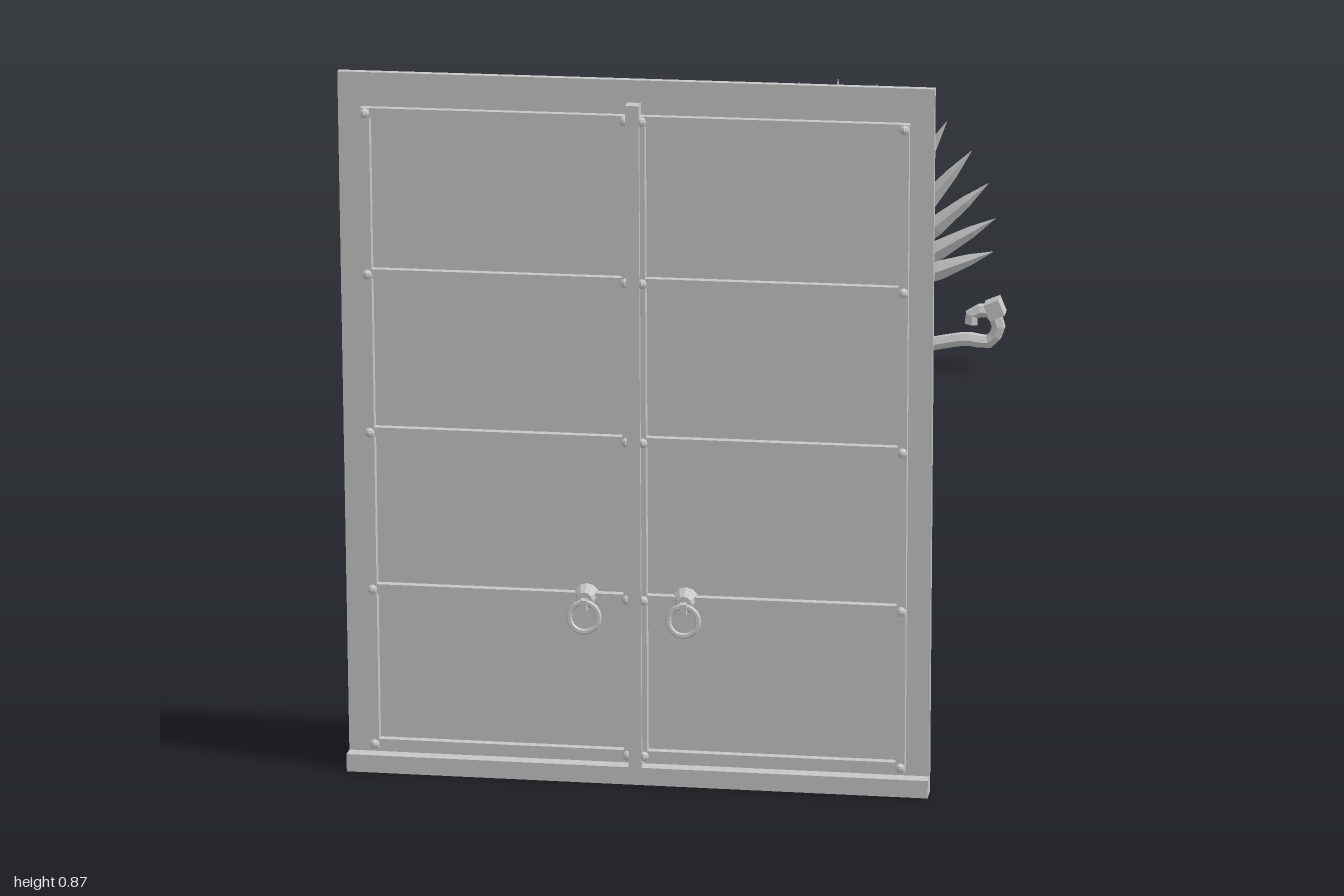
import * as THREE from 'three';

export function createModel() {
  const root = new THREE.Group();
  const stone = new THREE.MeshStandardMaterial({ color: 0xc6c6c6, flatShading: true, side: THREE.DoubleSide });
  stone.name = 'pale grey';

  const add = (name, geo, x = 0, y = 0, z = 0, parent = root) => {
    const m = new THREE.Mesh(geo, stone);
    m.name = name;
    m.position.set(x, y, z);
    parent.add(m);
    return m;
  };
  const box = (w, h, d) => new THREE.BoxGeometry(w, h, d);
  const group = (name) => {
    const g = new THREE.Group();
    g.name = name;
    root.add(g);
    return g;
  };

  // Faceted body from horizontal rings: [y, z centre, x radius, z radius]
  const loft = (rings, sides) => {
    const pos = [], idx = [];
    rings.forEach(([y, z, rx, rz]) => {
      for (let i = 0; i < sides; i++) {
        const a = (i / sides) * Math.PI * 2;
        pos.push(Math.sin(a) * rx, y, z + Math.cos(a) * rz);
      }
    });
    for (let r = 0; r < rings.length - 1; r++) {
      for (let i = 0; i < sides; i++) {
        const a = r * sides + i, b = r * sides + ((i + 1) % sides);
        idx.push(a, b, b + sides, a, b + sides, a + sides);
      }
    }
    const g = new THREE.BufferGeometry();
    g.setAttribute('position', new THREE.Float32BufferAttribute(pos, 3));
    g.setIndex(idx);
    g.computeVertexNormals();
    return g;
  };

  // Door slab, sill and centre post
  const door = group('door');
  add('doorPanel', box(0.708, 0.865, 0.01), 0, 0.4325, 0.965, door);
  add('doorSill', box(0.708, 0.022, 0.027), 0, 0.011, 0.9735, door);
  add('centrePost', box(0.016, 0.816, 0.018), 0, 0.43, 0.979, door);

  // Raised frame bars with studs at the joints
  const rails = [0.035, 0.231, 0.427, 0.622, 0.818];
  for (const s of [-1, 1]) {
    add('outerStile', box(0.011, 0.795, 0.012), s * 0.32, 0.4265, 0.976, door);
    add('innerStile', box(0.007, 0.795, 0.012), s * 0.0105, 0.4265, 0.976, door);
    for (const y of rails) {
      add('rail', box(0.31, 0.012, 0.01), s * 0.165, y, 0.975, door);
      for (const x of [0.32, 0.01]) {
        add('stud', new THREE.SphereGeometry(0.006, 8, 6), s * x, y, 0.982, door);
      }
    }

    // Ring handle on a round boss
    const boss = add('handleBoss', new THREE.CylinderGeometry(0.009, 0.016, 0.016, 12), s * 0.06, 0.231, 0.98, door);
    boss.rotation.x = Math.PI / 2;
    add('handleHook', box(0.008, 0.014, 0.012), s * 0.06, 0.226, 0.992, door);
    const ring = add('handleRing', new THREE.TorusGeometry(0.018, 0.0035, 6, 20), s * 0.06, 0.211, 0.993, door);
    ring.rotation.x = -0.1;
  }

  // Fan of pointed leaves
  const fan = group('leafFan');
  const count = 15;
  for (let i = 0; i < count; i++) {
    const t = (i / (count - 1)) * 2 - 1;
    const len = 0.355 - 0.1 * t * t;
    const leaf = add('leaf', loft([
      [0, 0, 0.003, 0.003], [len * 0.35, 0, 0.011, 0.008],
      [len * 0.65, 0, 0.015, 0.009], [len * 0.85, 0, 0.009, 0.006], [len, 0, 0.0005, 0.0005],
    ], 4), 0, 0.082, -0.986 + (i % 2) * 0.004, fan);
    leaf.rotation.z = -t * 1.2;
  }

  // Scrolled perch, mirrored about a central boss
  const perch = group('scrollPerch');
  const oval = add('perchBoss', new THREE.SphereGeometry(1, 10, 6), 0, 0.034, -0.952, perch);
  oval.scale.set(0.085, 0.024, 0.023);
  const curve = [[0.05, 0.032], [0.11, 0.028], [0.165, 0.04], [0.205, 0.047], [0.238, 0.045],
    [0.252, 0.07], [0.238, 0.093], [0.212, 0.088], [0.21, 0.072]];
  for (const s of [-1, 1]) {
    const path = new THREE.CatmullRomCurve3(curve.map(([x, y], i) =>
      new THREE.Vector3(s * x, y, -0.952 + Math.min(i, 5) * 0.002)));
    add('scrollArm', new THREE.TubeGeometry(path, 20, 0.011, 6), 0, 0, 0, perch);
    add('scrollTip', box(0.024, 0.026, 0.034), s * 0.246, 0.097, -0.945, perch).rotation.z = s * 0.4;
  }

  // Perched bird: torso, head, wings, tail and feet
  const bird = group('bird');
  add('torso', loft([
    [0.12, -0.858, 0.001, 0.001], [0.125, -0.858, 0.026, 0.026], [0.18, -0.858, 0.037, 0.034],
    [0.225, -0.868, 0.052, 0.042], [0.27, -0.887, 0.073, 0.052], [0.31, -0.892, 0.068, 0.05],
    [0.34, -0.894, 0.042, 0.038], [0.355, -0.894, 0.034, 0.034],
  ], 9), 0, 0, 0, bird);
  add('head', loft([
    [0.338, -0.892, 0.026, 0.026], [0.348, -0.892, 0.039, 0.037], [0.37, -0.892, 0.04, 0.038],
    [0.385, -0.893, 0.029, 0.028], [0.394, -0.894, 0.012, 0.012], [0.395, -0.894, 0.001, 0.001],
  ], 8), 0, 0, 0, bird);
  const beak = add('beak', new THREE.ConeGeometry(0.012, 0.025, 5), 0, 0.355, -0.848, bird);
  beak.rotation.x = 2.2;
  for (const s of [-1, 1]) {
    const wing = add('wing', loft([
      [-0.075, 0.012, 0.002, 0.002], [-0.03, 0.006, 0.013, 0.024],
      [0.03, 0, 0.017, 0.033], [0.06, -0.004, 0.006, 0.015],
    ], 6), s * 0.06, 0.265, -0.883, bird);
    wing.rotation.z = -s * 0.22;
    add('leg', loft([
      [0.11, -0.826, 0.011, 0.014], [0.15, -0.828, 0.015, 0.017],
      [0.19, -0.838, 0.022, 0.024], [0.235, -0.855, 0.018, 0.022],
    ], 6), s * 0.022, 0, 0, bird);
    add('foot', new THREE.IcosahedronGeometry(0.021, 0), s * 0.019, 0.122, -0.818, bird);
  }
  add('breastTuft', new THREE.IcosahedronGeometry(0.026, 0), 0, 0.205, -0.842, bird).scale.set(1.1, 1.2, 0.8);

  return root;
}
